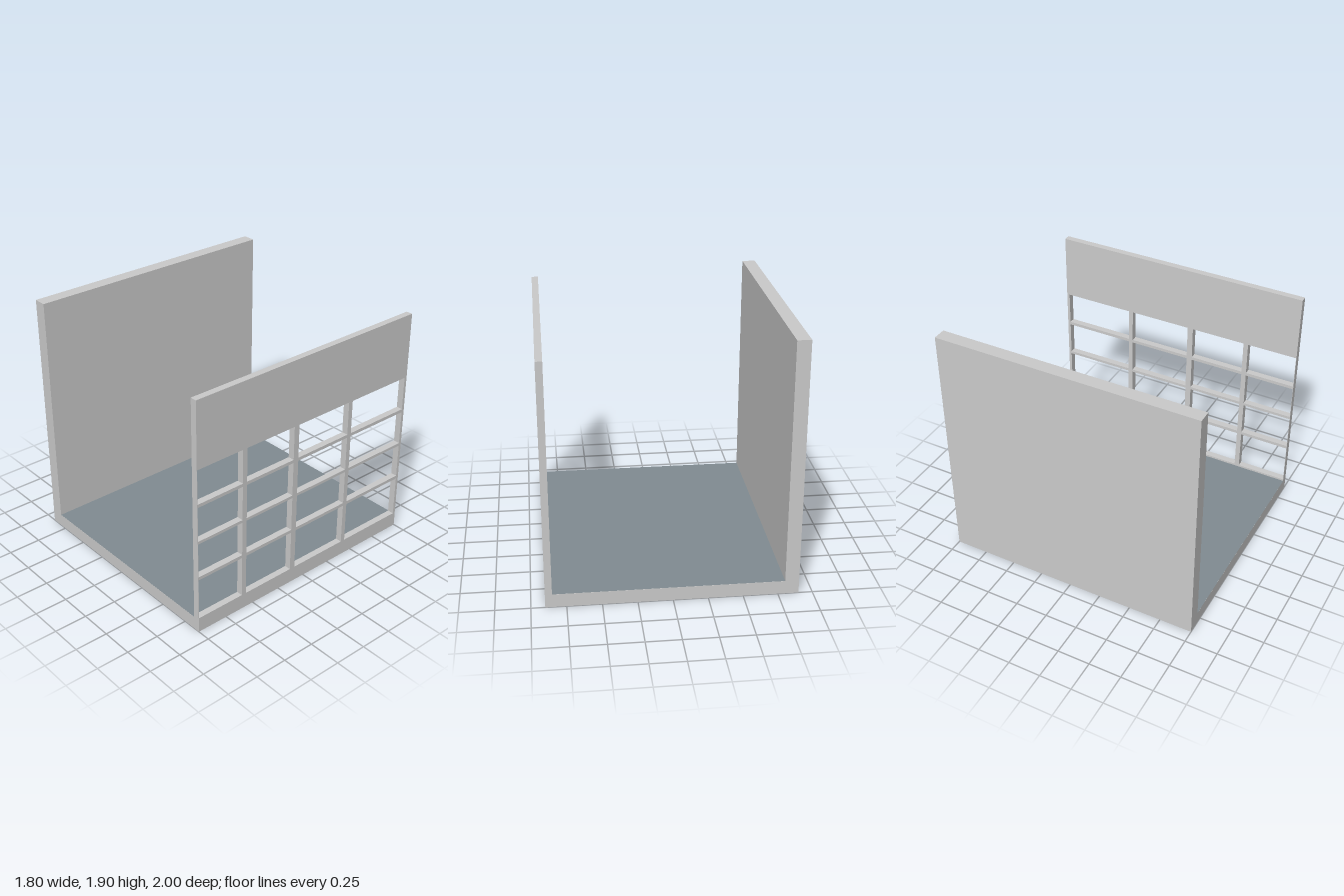
import * as THREE from 'three';

const grey = new THREE.MeshStandardMaterial({ color: 0xcccccc });
const floorPaint = new THREE.MeshStandardMaterial({ color: 0x818c92 });

const polygon = (points) => points.map(([x, y]) => new THREE.Vector2(x, y));
const rectangle = (x0, x1, y0, y1) => polygon([[x0, y0], [x1, y0], [x1, y1], [x0, y1]]);

function addMesh(group, name, geometry, material) {
  const mesh = new THREE.Mesh(geometry, material);
  mesh.name = name;
  group.add(mesh);
  return mesh;
}

export function createModel() {
  const group = new THREE.Group();
  group.name = 'room';

  // Floor slab and solid wall share one L-shaped section
  const section = new THREE.Shape(polygon([
    [-0.9, 0], [0.85, 0], [0.85, 0.1], [-0.8, 0.1], [-0.8, 1.9], [-0.9, 1.9],
  ]));
  const shell = new THREE.ExtrudeGeometry(section, { depth: 2, bevelEnabled: false });
  shell.translate(0, 0, -1);
  addMesh(group, 'floorSlabAndSolidWall', shell, grey);

  // Coloured floor surface
  const covering = new THREE.PlaneGeometry(1.65, 2);
  covering.rotateX(-Math.PI / 2);
  covering.translate(0.025, 0.101, 0);
  addMesh(group, 'floorCovering', covering, floorPaint);

  // Window wall: drawn in (-z, y) and turned to face +x
  const wall = new THREE.Shape(rectangle(-1, 1, 0, 1.82));
  const columns = [[-0.997, -0.605], [-0.567, -0.137], [-0.092, 0.394], [0.43, 0.978]];
  const rows = [[0.117, 0.44], [0.465, 0.735], [0.757, 1.025], [1.05, 1.313]];
  for (const [x0, x1] of columns) {
    for (const [y0, y1] of rows) {
      wall.holes.push(new THREE.Path(rectangle(x0, x1, y0, y1)));
    }
  }
  const windowWall = new THREE.ExtrudeGeometry(wall, { depth: 0.05, bevelEnabled: false });
  windowWall.rotateY(Math.PI / 2);
  windowWall.translate(0.85, 0, 0);
  addMesh(group, 'windowWall', windowWall, grey);

  return group;
}
